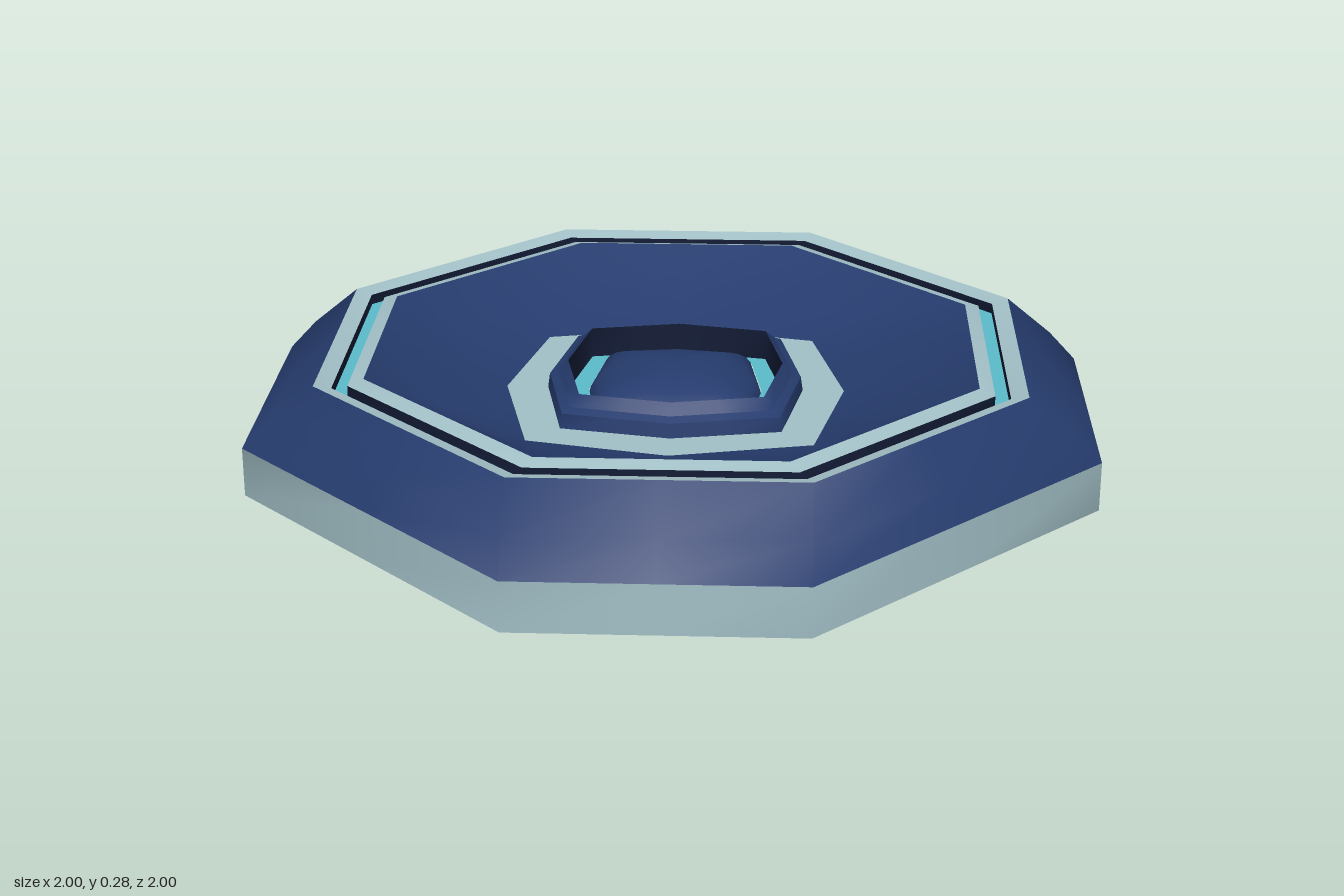
import * as THREE from 'three';

const mat = (name, color, extra = {}) => Object.assign(new THREE.MeshStandardMaterial({ color, ...extra }), { name });

// Rings hold 16 points; one eighth is given and turned round by quarters.
function ring(p, bx, bz, q, y) {
  const pts = [];
  for (let k = 0; k < 4; k++) {
    for (let [x, z] of [[p, 0], [bx, bz], [q, q], [bz, bx]]) {
      for (let j = 0; j < k; j++) [x, z] = [-z, x];
      pts.push([x, y, z]);
    }
  }
  return pts;
}
// Chamfered square: half width a, half edge length c
const oct = (a, c, y) => ring(a, a, c, (a + c) / 2, y);
// Rounded square with points on the axes (r) and on the diagonals (d)
const knob = (r, d, y) => ring(r, (r + d) / 2, d / 2, d, y);

// Smooth skin through successive rings
function loft(rings) {
  const n = 16, idx = [];
  for (let s = 0; s < rings.length - 1; s++) {
    for (let i = 0; i < n; i++) {
      const a = s * n + i, b = s * n + (i + 1) % n;
      idx.push(a, a + n, b, b, a + n, b + n);
    }
  }
  const g = new THREE.BufferGeometry();
  g.setAttribute('position', new THREE.Float32BufferAttribute(rings.flat(2), 3));
  g.setIndex(idx);
  g.computeVertexNormals();
  return g;
}

export function createModel() {
  const navy = mat('navy', 0x263c6e);
  const deep = mat('deepNavy', 0x131c36);
  const pale = mat('paleGrey', 0xa3c1c8);
  const cyan = mat('cyan', 0x5bbccb);
  const group = new THREE.Group();
  group.name = 'octagonalPad';
  const add = (name, material, ...rings) => {
    const mesh = new THREE.Mesh(loft(rings), material);
    mesh.name = name;
    group.add(mesh);
  };

  // Underside with a shallow recess
  add('recessFloor', navy, oct(0, 0, 0.05), oct(0.85, 0.2, 0.05));
  add('recessWall', navy, oct(0.85, 0.2, 0.05), oct(0.85, 0.2, 0));
  add('underside', navy, oct(0.85, 0.2, 0), oct(1, 0.33, 0));

  // Outer body
  add('baseBand', pale, oct(1, 0.33, 0), oct(1, 0.33, 0.12));
  add('outerSlope', navy, oct(1, 0.33, 0.12), oct(0.935, 0.33, 0.19), oct(0.825, 0.33, 0.28));

  // Rim with a glowing groove
  add('outerLip', pale, oct(0.825, 0.33, 0.28), oct(0.785, 0.315, 0.27));
  add('grooveOuterWall', deep, oct(0.785, 0.315, 0.27), oct(0.785, 0.315, 0.245));
  add('grooveLight', cyan, oct(0.785, 0.315, 0.245), oct(0.75, 0.3, 0.245));
  add('grooveInnerWall', deep, oct(0.75, 0.3, 0.245), oct(0.75, 0.3, 0.27));
  add('innerLip', pale, oct(0.75, 0.3, 0.27), oct(0.715, 0.28, 0.28));

  // Sunken dish and flat collar
  add('dish', navy, oct(0.715, 0.28, 0.28), ring(0.55, 0.55, 0.24, 0.42, 0.2), knob(0.41, 0.335, 0.155));
  add('collar', pale, knob(0.41, 0.335, 0.155), knob(0.31, 0.26, 0.155));

  // Raised centre ring
  add('hubWall', navy, knob(0.31, 0.26, 0.155), knob(0.305, 0.255, 0.19));
  add('hubStep', navy, knob(0.305, 0.255, 0.19), knob(0.285, 0.238, 0.2));
  add('hubTop', navy, knob(0.285, 0.238, 0.2), knob(0.26, 0.217, 0.225));
  add('hubInnerWall', deep, knob(0.26, 0.217, 0.225), knob(0.26, 0.217, 0.15));
  add('hubLight', cyan, knob(0.26, 0.217, 0.15), knob(0.21, 0.183, 0.15));

  // Centre dome
  const dome = [];
  for (let i = 0; i <= 8; i++) {
    const t = (i / 8) * Math.PI / 2, c = i === 8 ? 0.002 : Math.cos(t);
    dome.push(knob(0.21 * c, 0.183 * c, 0.14 + 0.085 * Math.sin(t)));
  }
  dome.push(knob(0, 0, 0.225));
  add('centreDome', navy, ...dome);

  return group;
}
